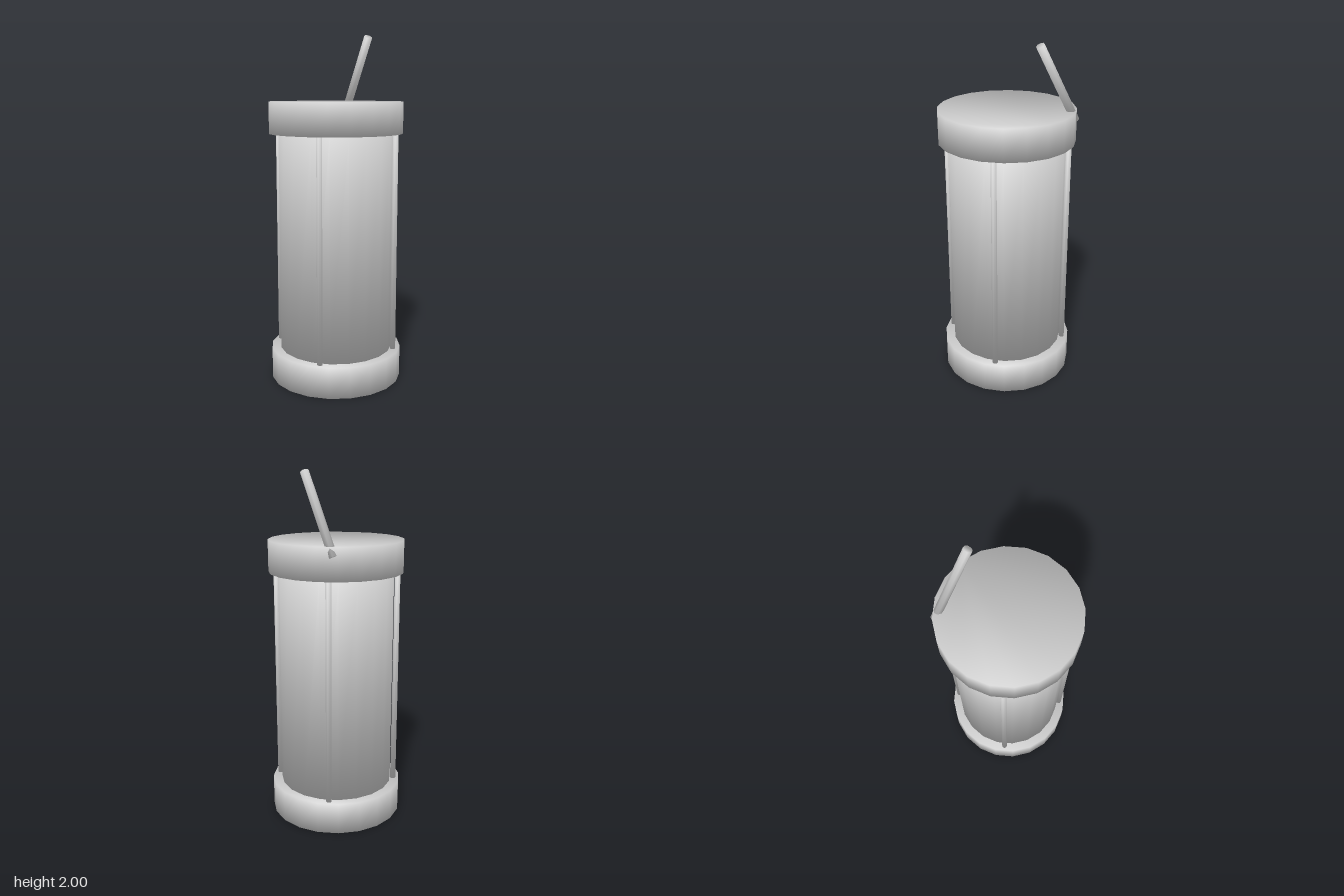
import * as THREE from 'three';

// Solid prism centred on the origin, with normals shared softly between sides and ends
function softCylinder(radius, height, sides) {
  const positions = [], normals = [], index = [];
  for (const end of [-1, 1]) {
    for (let i = 0; i < sides; i++) {
      const a = (i / sides) * Math.PI * 2;
      const c = Math.cos(a), s = Math.sin(a);
      positions.push(c * radius, end * height / 2, s * radius);
      normals.push(c * Math.SQRT1_2, end * Math.SQRT1_2, s * Math.SQRT1_2);
    }
  }
  for (let i = 0; i < sides; i++) {
    const j = (i + 1) % sides;
    index.push(i, i + sides, j, j, i + sides, j + sides);
    if (i > 0 && i < sides - 1) index.push(0, i, j, sides, j + sides, i + sides);
  }
  const g = new THREE.BufferGeometry();
  g.setAttribute('position', new THREE.Float32BufferAttribute(positions, 3));
  g.setAttribute('normal', new THREE.Float32BufferAttribute(normals, 3));
  g.setIndex(index);
  return g;
}

export function createModel() {
  const model = new THREE.Group();
  model.name = 'canister';
  const grey = new THREE.MeshStandardMaterial({ color: 0xcccccc });
  grey.name = 'light grey';

  const add = (name, radius, height, sides, x, y, z) => {
    const mesh = new THREE.Mesh(softCylinder(radius, height, sides), grey);
    mesh.name = name;
    mesh.position.set(x, y, z);
    model.add(mesh);
    return mesh;
  };

  // Central body between two wide end caps
  add('body', 0.33, 1.264, 20, 0, 0.81, 0);
  add('bottomCap', 0.383, 0.18, 20, 0, 0.09, 0);
  add('topCap', 0.383, 0.18, 20, 0, 1.53, 0);

  // Four thin rods joining the caps
  for (const x of [-1, 1]) {
    for (const z of [-1, 1]) add('supportRod', 0.016, 1.264, 8, x * 0.245, 0.81, z * 0.245);
  }

  // Short rod leaning forward out of the top cap
  const leaning = add('leaningRod', 0.024, 0.488, 8, 0.242, 1.777, -0.162);
  leaning.rotation.x = Math.PI / 6;

  return model;
}
